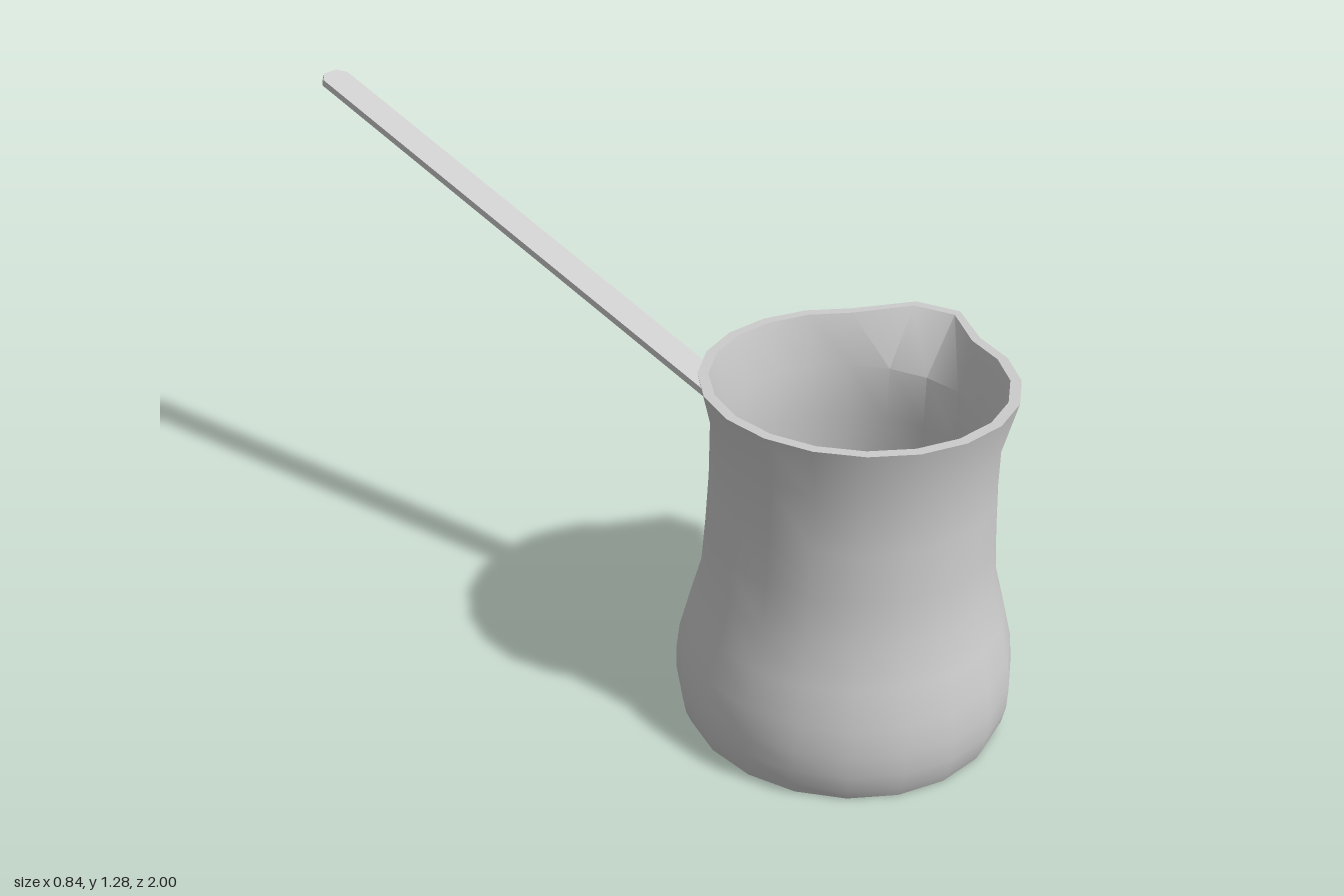
import * as THREE from 'three';
import { toCreasedNormals } from 'three/addons/utils/BufferGeometryUtils.js';

const material = new THREE.MeshStandardMaterial({ color: 0xcccccc });
const SIDES = 20;
const RIM_Y = 0.88;
const WALL = 0.025;

// Hollow turned pot; two neighbouring rim corners are pulled out into a spout
function createPot() {
  const outer = [
    [0.38, 0], [0.393, 0.03], [0.402, 0.075], [0.403, 0.13], [0.395, 0.2],
    [0.372, 0.29], [0.345, 0.39], [0.337, 0.5], [0.331, 0.62], [0.33, 0.755], [0.36, RIM_Y],
  ];
  const inner = outer.slice(1).reverse().map(([r, y]) => [r - WALL, y]);
  const profile = [[0, 0], ...outer, ...inner, [0, 0.03]];
  const geometry = new THREE.LatheGeometry(profile.map(([r, y]) => new THREE.Vector2(r, y)), SIDES);

  const p = geometry.attributes.position;
  for (let i = 0; i < p.count; i++) {
    const inSpout = p.getX(i) > 0 && p.getZ(i) > -0.14 && p.getZ(i) < 0.02;
    if (p.getY(i) > RIM_Y - 0.01 && inSpout) p.setX(i, p.getX(i) + 0.08);
  }

  const pot = new THREE.Mesh(toCreasedNormals(geometry, 0.75), material);
  pot.name = 'pot';
  pot.position.set(-0.02, 0, 0.597);
  return pot;
}

// Thin flat bar rising backwards from the neck, with clipped corners at the tip
function createHandle() {
  const start = new THREE.Vector3(-0.033, 0.703, 0.277);
  const end = new THREE.Vector3(-0.105, 1.277, -0.997);
  const length = start.distanceTo(end);
  const half = 0.043;
  const thickness = 0.016;

  const shape = new THREE.Shape([
    [-half, 0], [half, 0], [half, length - 0.02], [half * 0.5, length],
    [-half * 0.5, length], [-half, length - 0.02],
  ].map(([x, y]) => new THREE.Vector2(x, y)));
  const geometry = new THREE.ExtrudeGeometry(shape, { depth: thickness, bevelEnabled: false });
  geometry.translate(0, 0, -thickness / 2);

  const along = end.clone().sub(start).normalize();
  const across = new THREE.Vector3(-along.z, 0, along.x).normalize();
  const up = across.clone().cross(along);
  geometry.applyMatrix4(new THREE.Matrix4().makeBasis(across, along, up).setPosition(start));

  const handle = new THREE.Mesh(geometry, material);
  handle.name = 'handle';
  return handle;
}

export function createModel() {
  const model = new THREE.Group();
  model.name = 'coffeePot';
  model.add(createPot(), createHandle());
  return model;
}
